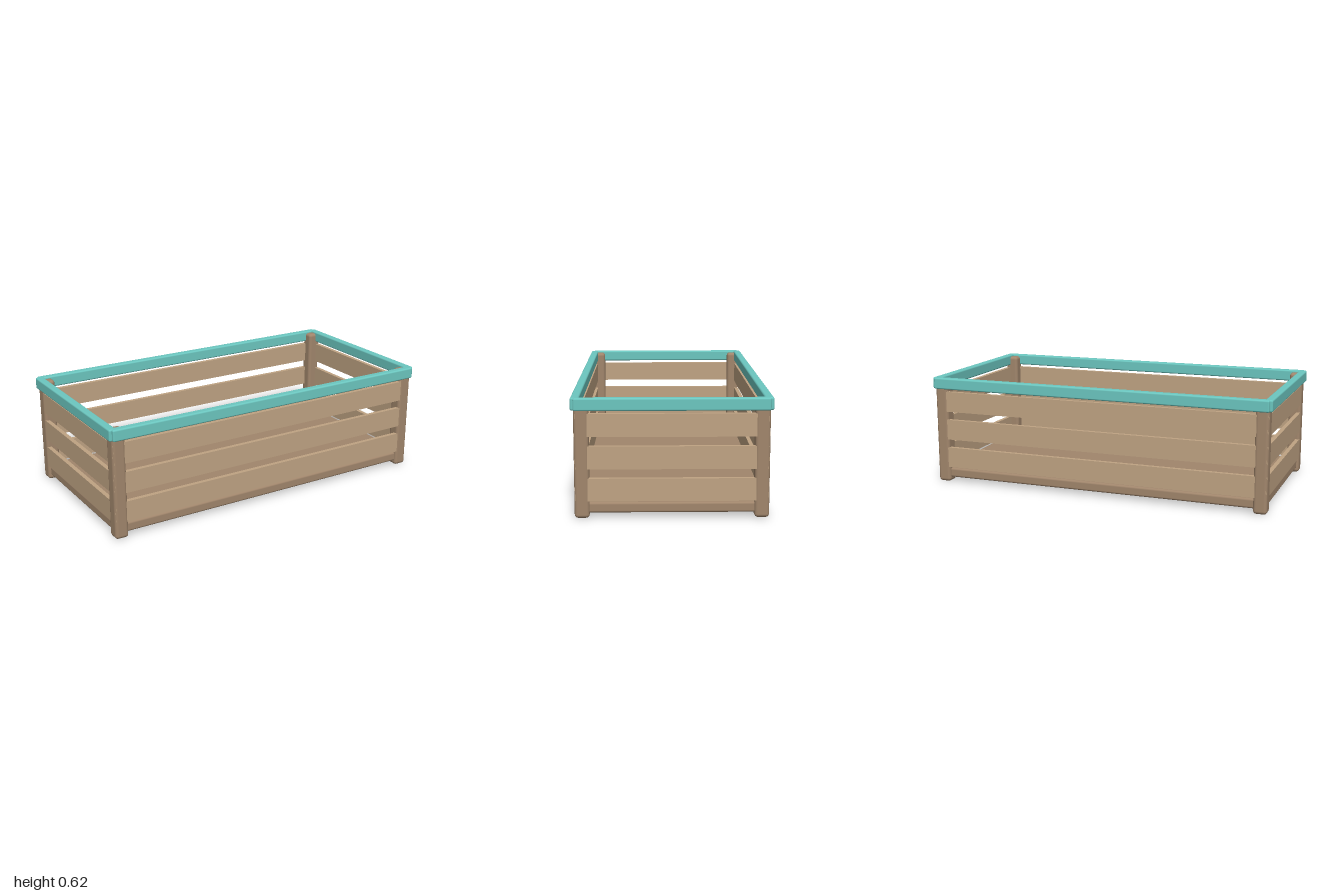
import * as THREE from 'three';
import { RoundedBoxGeometry } from 'three/addons/geometries/RoundedBoxGeometry.js';

export function createModel() {
  const crate = new THREE.Group();
  crate.name = 'crate';

  const frameWood = new THREE.MeshStandardMaterial({ color: 0xa1866c });
  const slatWood = new THREE.MeshStandardMaterial({ color: 0xbfa383 });
  const trim = new THREE.MeshStandardMaterial({ color: 0x6cc7c0 });

  // Adds a box given its size and centre; a radius rounds its edges
  function addBox(name, material, size, centre, radius = 0) {
    const geometry = radius
      ? new RoundedBoxGeometry(...size, 3, radius)
      : new THREE.BoxGeometry(...size);
    const mesh = new THREE.Mesh(geometry, material);
    mesh.name = name;
    mesh.position.set(...centre);
    crate.add(mesh);
  }

  // Floor panel, raised a little off the ground
  addBox('floor', frameWood, [1.94, 0.055, 0.96], [0, 0.0525, 0], 0.012);

  // Corner posts
  for (const x of [-1, 1]) {
    for (const z of [-1, 1]) {
      addBox('cornerPost', frameWood, [0.076, 0.61, 0.076], [x * 0.947, 0.305, z * 0.457], 0.018);
    }
  }

  for (const side of [-1, 1]) {
    // Three slats on each wall
    for (const y of [0.148, 0.314, 0.48]) {
      addBox('longSlat', slatWood, [1.955, 0.118, 0.024], [0, y, side * 0.48]);
      addBox('endSlat', slatWood, [0.024, 0.118, 0.975], [side * 0.97, y, 0]);
    }
    // Coloured rim rails, overlapping at the corners
    addBox('longRimRail', trim, [1.97, 0.065, 0.044], [0, 0.588, side * 0.488], 0.009);
    addBox('endRimRail', trim, [0.044, 0.065, 0.99], [side * 0.978, 0.588, 0], 0.009);
  }

  return crate;
}
